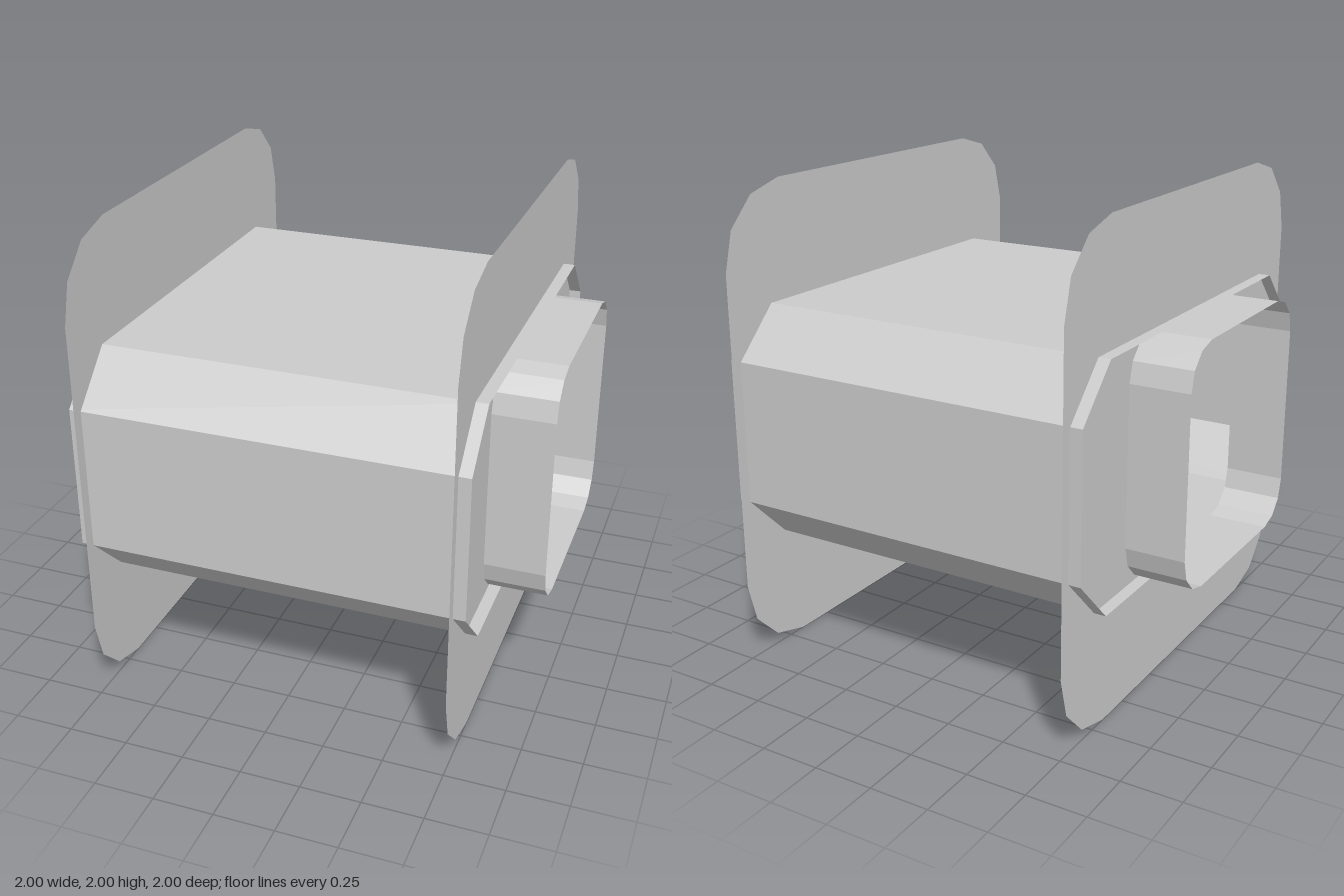
import * as THREE from 'three';

const material = new THREE.MeshStandardMaterial({ color: 0xcccccc, flatShading: true, side: THREE.DoubleSide });
const CENTRE_Y = 1;

// Square outline with corners rounded in three steps, counter-clockwise
function roundedSquare(half) {
  const r = half / 3, c = half - r, points = [];
  [[1, 1], [-1, 1], [-1, -1], [1, -1]].forEach(([sx, sy], corner) => {
    for (let i = 0; i <= 3; i++) {
      const a = (corner + i / 3) * Math.PI / 2;
      points.push(new THREE.Vector2(sx * c + r * Math.cos(a), sy * c + r * Math.sin(a)));
    }
  });
  return points;
}

// Wide rectangle with its corners cut off, counter-clockwise
function chamferedRect(w, h, c) {
  return [[w, c - h], [w, h - c], [w - c, h], [c - w, h], [-w, h - c], [-w, c - h], [c - w, -h], [w - c, -h]]
    .map(([x, y]) => new THREE.Vector2(x, y));
}

// Open, thin-walled tube along x; the outline lies in the z-y plane
function openTube(outline, x0, x1) {
  const positions = [];
  outline.forEach((p, i) => {
    const q = outline[(i + 1) % outline.length];
    positions.push(
      x0, p.y, p.x, x1, p.y, p.x, x1, q.y, q.x,
      x0, p.y, p.x, x1, q.y, q.x, x0, q.y, q.x);
  });
  const geometry = new THREE.BufferGeometry();
  geometry.setAttribute('position', new THREE.Float32BufferAttribute(positions, 3));
  geometry.computeVertexNormals();
  return geometry;
}

export function createModel() {
  const group = new THREE.Group();
  const add = (name, geometry) => {
    const mesh = new THREE.Mesh(geometry, material);
    mesh.name = name;
    mesh.position.y = CENTRE_Y;
    group.add(mesh);
  };

  // Hollow body whose rims pass slightly beyond the flanges
  add('body', openTube(chamferedRect(0.95, 0.5, 0.2), -0.8, 0.8));

  for (const [side, s] of [['left', 1], ['right', -1]]) {
    // Thin flange plate with a rounded square opening
    const shape = new THREE.Shape(roundedSquare(1));
    shape.holes.push(new THREE.Path(roundedSquare(0.5)));
    add(side + 'Flange', new THREE.ShapeGeometry(shape).rotateY(s * Math.PI / 2).translate(s * 0.75, 0, 0));

    // Short open collar around the opening
    add(side + 'Collar', openTube(roundedSquare(0.5), s > 0 ? 0.75 : -1, s > 0 ? 1 : -0.75));
  }
  return group;
}
